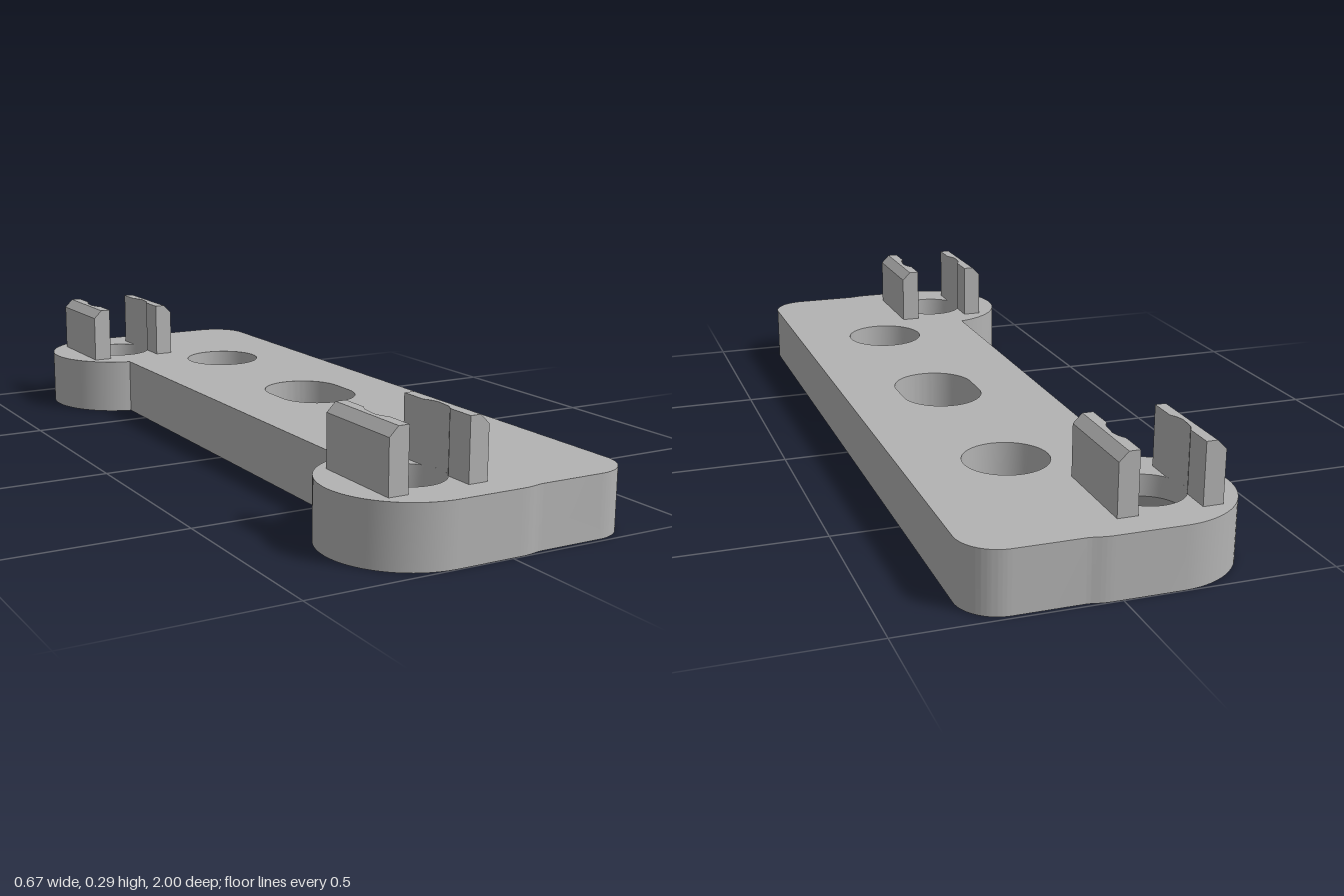
import * as THREE from 'three';
import { mergeGeometries, toCreasedNormals } from 'three/addons/utils/BufferGeometryUtils.js';

const T = 0.148;            // plate thickness
const LX = -0.137, LZ = 0.8, LR = 0.198; // lobe centre and radius
const HX = 0.087, HR = 0.103;            // mounting holes
const PIN = 0.09, SINK = 0.175, SINK_Y = 0.095; // lobe hole and countersink

function outline() {
  const s = new THREE.Shape(), q = Math.PI / 2, d = Math.asin(0.043 / LR);
  s.moveTo(0.24, -0.99);
  s.absarc(0.24, -0.895, 0.095, -q, 0, false);
  s.absarc(0.24, 0.895, 0.095, 0, q, false);
  s.lineTo(0.085, 0.99);
  s.bezierCurveTo(0.06, 0.99, 0.055, 0.998, 0.02, 0.998);
  s.absarc(LX, LZ, LR, q, 3 * q - d, false);
  s.absarc(LX, -LZ, LR, q + d, 3 * q, false);
  s.lineTo(0.02, -0.998);
  s.bezierCurveTo(0.055, -0.998, 0.06, -0.99, 0.085, -0.99);
  s.closePath();
  return s;
}

const circle = (x, z, r) => new THREE.Path().absarc(x, z, r, 0, Math.PI * 2, true);

function slot() {
  const p = new THREE.Path();
  p.absarc(HX, -0.035, HR, 0, -Math.PI, true);
  p.absarc(HX, 0.035, HR, Math.PI, 0, true);
  p.closePath();
  return p;
}

// Strip between two matching closed paths at two heights
function wall(pathA, yA, pathB, yB) {
  const a = pathA.getPoints(24), b = pathB.getPoints(24), pos = [];
  const keep = a.map((p, i) => i).filter(i => i === 0 || a[i].distanceTo(a[i - 1]) > 1e-4);
  if (a[keep[keep.length - 1]].distanceTo(a[0]) < 1e-4) keep.pop();
  keep.forEach((i, k) => {
    const j = keep[(k + 1) % keep.length];
    const a0 = [a[i].x, yA, -a[i].y], a1 = [a[j].x, yA, -a[j].y];
    const b0 = [b[i].x, yB, -b[i].y], b1 = [b[j].x, yB, -b[j].y];
    pos.push(...a0, ...a1, ...b1, ...a0, ...b1, ...b0);
  });
  const g = new THREE.BufferGeometry();
  g.setAttribute('position', new THREE.Float32BufferAttribute(pos, 3));
  g.computeVertexNormals();
  return g;
}

function plateGeometry() {
  const plain = () => [circle(HX, 0.528, HR), circle(HX, -0.528, HR), slot()];
  const cap = (r, turn, y) => {
    const s = outline();
    s.holes.push(...plain(), circle(LX, LZ, r), circle(LX, -LZ, r));
    const g = new THREE.ShapeGeometry(s, 24).toNonIndexed();
    g.deleteAttribute('uv');
    return g.rotateX(turn).translate(0, y, 0);
  };
  const parts = [cap(PIN, -Math.PI / 2, T), cap(SINK, Math.PI / 2, 0)];
  for (const p of [outline(), ...plain()]) parts.push(wall(p, 0, p, T));
  // Countersunk lobe holes: cone below, straight bore above
  for (const z of [LZ, -LZ]) {
    const bore = circle(LX, z, PIN);
    parts.push(wall(circle(LX, z, SINK), 0, bore, SINK_Y), wall(bore, SINK_Y, bore, T));
  }
  return toCreasedNormals(mergeGeometries(parts), 0.5);
}

// Upright prong, scooped by the bore on its inner face, bevelled on its outer top edge.
// Built for the +x side of the bore, centred on the bore axis.
function prongGeometry() {
  const inner = 0.075, outer = 0.123, half = 0.123, h = 0.147, bevel = 0.022;
  const a = Math.acos(inner / PIN);
  const s = new THREE.Shape();
  s.moveTo(inner, -half);
  s.lineTo(outer, -half);
  s.lineTo(outer, half);
  s.lineTo(inner, half);
  s.absarc(0, 0, PIN, a, -a, true);
  s.closePath();
  const g = new THREE.ExtrudeGeometry(s, { depth: h, steps: 2, bevelEnabled: false, curveSegments: 16 });
  const p = g.attributes.position;
  for (let i = 0; i < p.count; i++) {
    const z = p.getZ(i);
    if (Math.abs(z - h / 2) < 1e-4) p.setZ(i, h - bevel);
    else if (z > h / 2 && p.getX(i) > outer - 1e-4) p.setX(i, outer - bevel);
  }
  g.rotateX(-Math.PI / 2);
  return toCreasedNormals(g, 0.5);
}

export function createModel() {
  const model = new THREE.Group();
  model.name = 'mountingPlate';
  const grey = new THREE.MeshStandardMaterial({ color: 0xb3b3b3 });
  grey.name = 'grey';

  const plate = new THREE.Mesh(plateGeometry(), grey);
  plate.name = 'plate';
  model.add(plate);

  // A pair of facing prongs over each lobe hole
  const prong = prongGeometry();
  for (const z of [LZ, -LZ]) {
    const clip = new THREE.Group();
    clip.name = z > 0 ? 'frontClip' : 'backClip';
    clip.position.set(LX, T, z);
    for (const side of [1, -1]) {
      const m = new THREE.Mesh(prong, grey);
      m.name = side > 0 ? 'leftProng' : 'rightProng';
      m.rotation.y = side > 0 ? 0 : Math.PI;
      clip.add(m);
    }
    model.add(clip);
  }
  return model;
}
